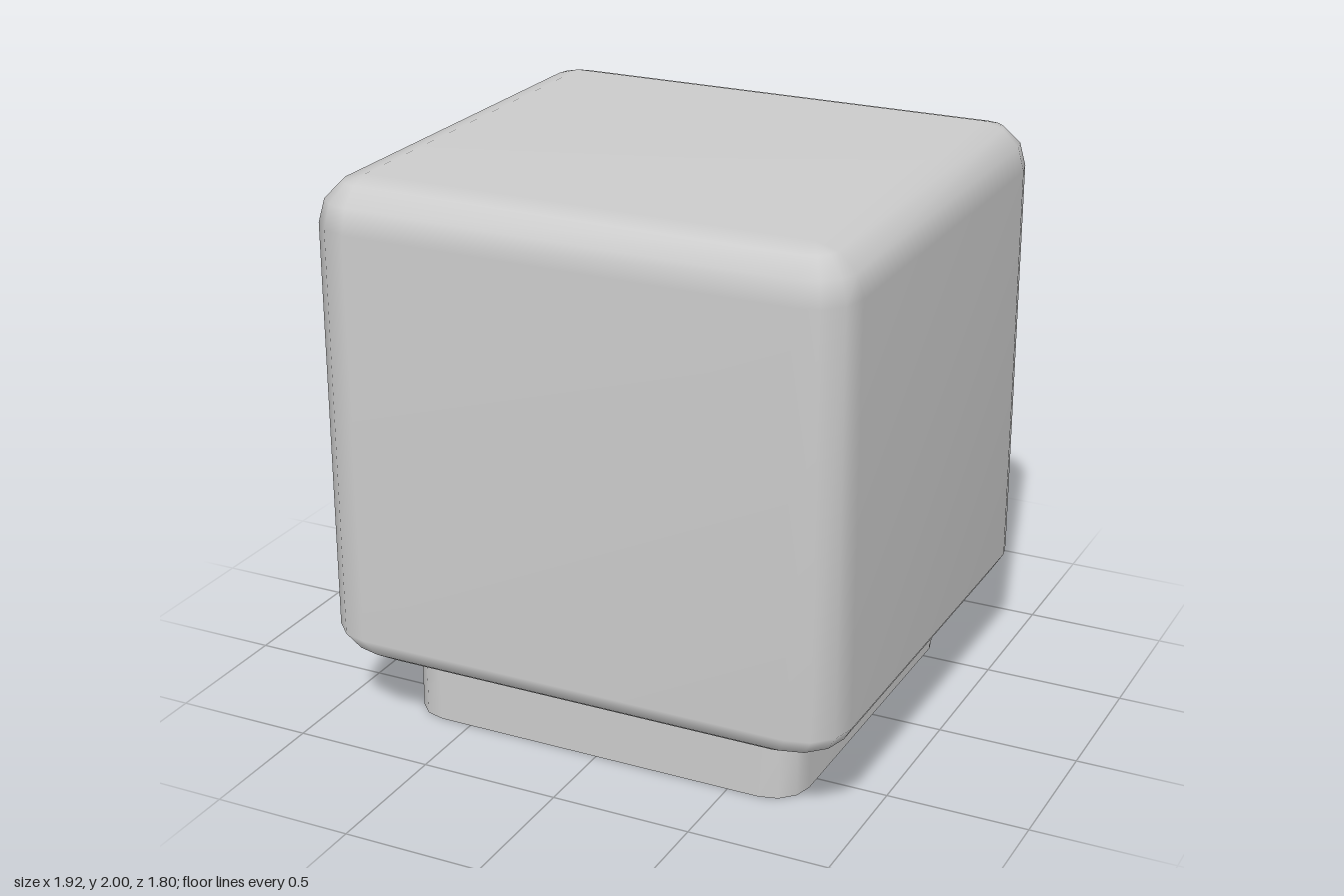
import * as THREE from 'three';
import { mergeVertices } from 'three/addons/utils/BufferGeometryUtils.js';

const STEPS = 3; // facets per rounded corner
const N = 4 * (STEPS + 1);

// Rounded rectangle at height y: half sizes hx, hz and corner radius r
function ring([y, hx, hz, r]) {
  const pts = [];
  for (let q = 0; q < 4; q++) {
    const sx = q === 0 || q === 3 ? 1 : -1;
    const sz = q < 2 ? 1 : -1;
    for (let s = 0; s <= STEPS; s++) {
      const a = (q + s / STEPS) * Math.PI / 2;
      pts.push([sx * (hx - r) + r * Math.cos(a), y, sz * (hz - r) + r * Math.sin(a)]);
    }
  }
  return pts;
}

// Smooth skin through stacked rings, listed bottom to top, with optional end caps
function loft(sections, capBottom, capTop) {
  const pos = sections.flatMap(ring).flat();
  const index = [];
  for (let k = 0; k < sections.length - 1; k++) {
    for (let i = 0; i < N; i++) {
      const j = (i + 1) % N;
      const a = k * N + i, b = k * N + j;
      index.push(a, a + N, b, b, a + N, b + N);
    }
  }
  const last = (sections.length - 1) * N;
  for (let i = 1; i < N - 1; i++) {
    if (capBottom) index.push(0, i, i + 1);
    if (capTop) index.push(last, last + i + 1, last + i);
  }
  let geo = new THREE.BufferGeometry();
  geo.setAttribute('position', new THREE.Float32BufferAttribute(pos, 3));
  geo.setIndex(index);
  geo = mergeVertices(geo, 1e-4);
  geo.computeVertexNormals();
  return geo;
}

export function createModel() {
  const group = new THREE.Group();
  const material = new THREE.MeshStandardMaterial({ color: 0xcccccc });
  const add = (name, geo) => {
    const mesh = new THREE.Mesh(geo, material);
    mesh.name = name;
    group.add(mesh);
  };

  // Rounded block: flatter curve underneath, quarter round on top
  const HX = 0.96, HZ = 0.9, R = 0.165;
  const sections = [
    [0.235, 0.745, 0.695, 0.13],
    [0.26, 0.86, 0.805, 0.15],
    [0.3, 0.922, 0.865, 0.16],
    [0.362, HX, HZ, R],
  ];
  for (let s = 0; s <= STEPS; s++) {
    const a = (s / STEPS) * Math.PI / 2;
    const r = R * Math.cos(a);
    sections.push([2 - R + R * Math.sin(a), HX - R + r, HZ - R + r, r]);
  }
  add('body', loft(sections, false, true));

  // Foot below the block, its underside kept separate for a sharp edge
  const foot = [0, 0.745, 0.695, 0.13];
  add('footSides', loft([foot, [0.235, ...foot.slice(1)]], false, false));
  add('footUnderside', loft([foot], true, false));

  return group;
}
